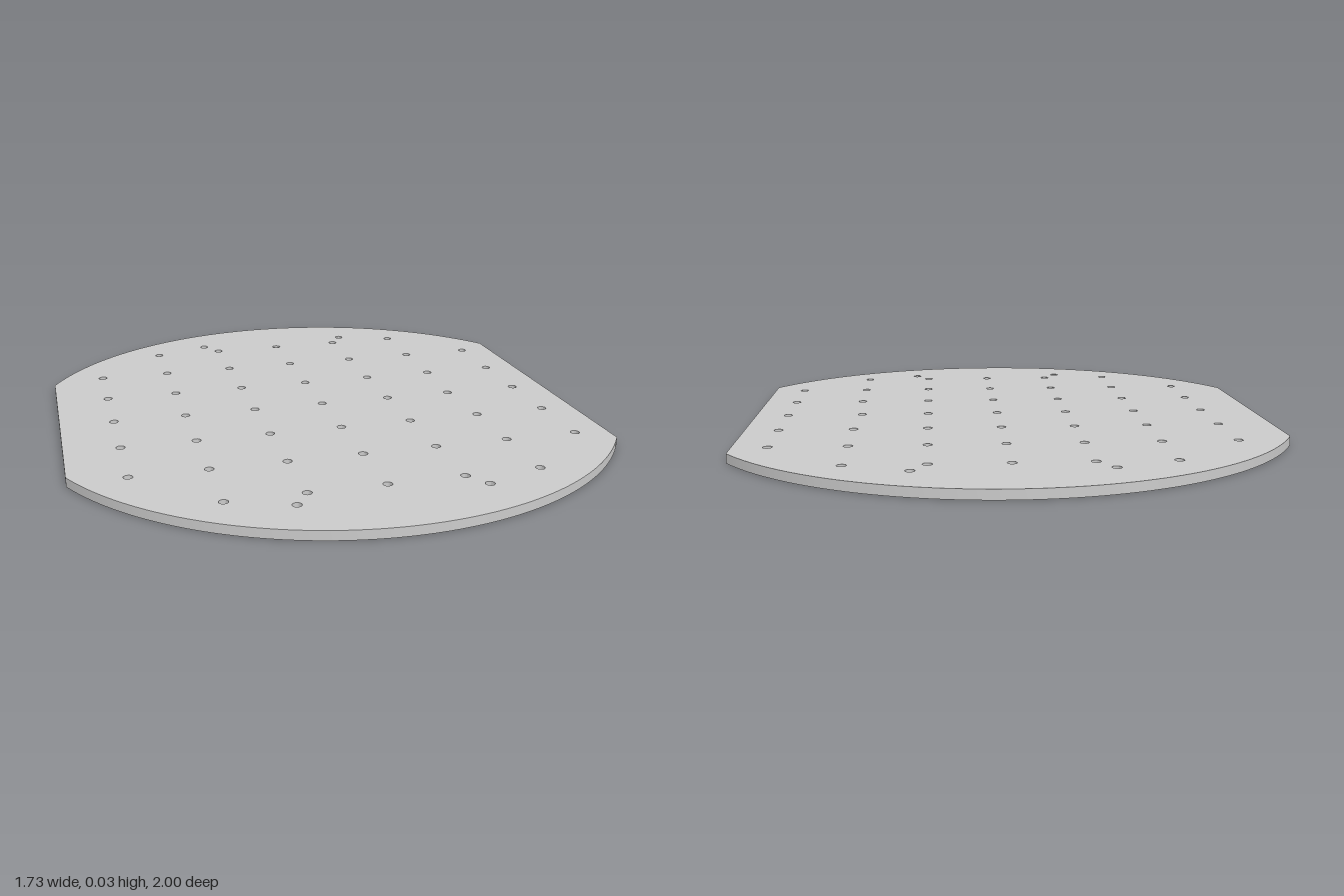
import * as THREE from 'three';
import { toCreasedNormals } from 'three/addons/utils/BufferGeometryUtils.js';

const CENTRE_X = 0.034;   // centre of the disc and its hole grid
const RADIUS = 1;
const HALF_WIDTH = 0.865; // the two straight cuts lie at x = +/- this
const THICKNESS = 0.03;
const PITCH = 0.2405;
const HOLE_RADIUS = 0.0145;

// Disc outline with a straight cut on each side
function plateOutline() {
  const right = Math.acos((HALF_WIDTH - CENTRE_X) / RADIUS);
  const left = Math.acos((-HALF_WIDTH - CENTRE_X) / RADIUS);
  const shape = new THREE.Shape();
  shape.absarc(CENTRE_X, 0, RADIUS, right, left, false);
  shape.absarc(CENTRE_X, 0, RADIUS, -left, -right, false);
  shape.closePath();
  return shape;
}

// Hole positions: a 7 x 7 grid without its corners, plus four extra holes
function holeCentres() {
  const centres = [];
  for (let i = -3; i <= 3; i++) {
    for (let j = -3; j <= 3; j++) {
      if (Math.abs(i) === 3 && Math.abs(j) === 3) continue;
      const shift = i === 2 && j === 0 ? -0.013 : 0; // one hole sits off the grid
      centres.push([CENTRE_X + i * PITCH + shift, j * PITCH]);
    }
  }
  for (const sx of [-1, 1]) {
    for (const sz of [-1, 1]) centres.push([CENTRE_X + sx * 0.288, sz * 0.793]);
  }
  return centres;
}

export function createModel() {
  const group = new THREE.Group();
  group.name = 'perforatedPlate';

  const shape = plateOutline();
  for (const [x, z] of holeCentres()) {
    const hole = new THREE.Path();
    hole.absarc(x, -z, HOLE_RADIUS, 0, Math.PI * 2, true);
    shape.holes.push(hole);
  }

  // Extrude upwards from the ground, rounded walls smooth, rims sharp
  const geometry = new THREE.ExtrudeGeometry(shape, {
    depth: THICKNESS, bevelEnabled: false, curveSegments: 48,
  });
  geometry.rotateX(-Math.PI / 2);

  const plate = new THREE.Mesh(
    toCreasedNormals(geometry, Math.PI / 7),
    new THREE.MeshStandardMaterial({ color: 0xcccccc }),
  );
  plate.name = 'plate';
  group.add(plate);
  return group;
}
